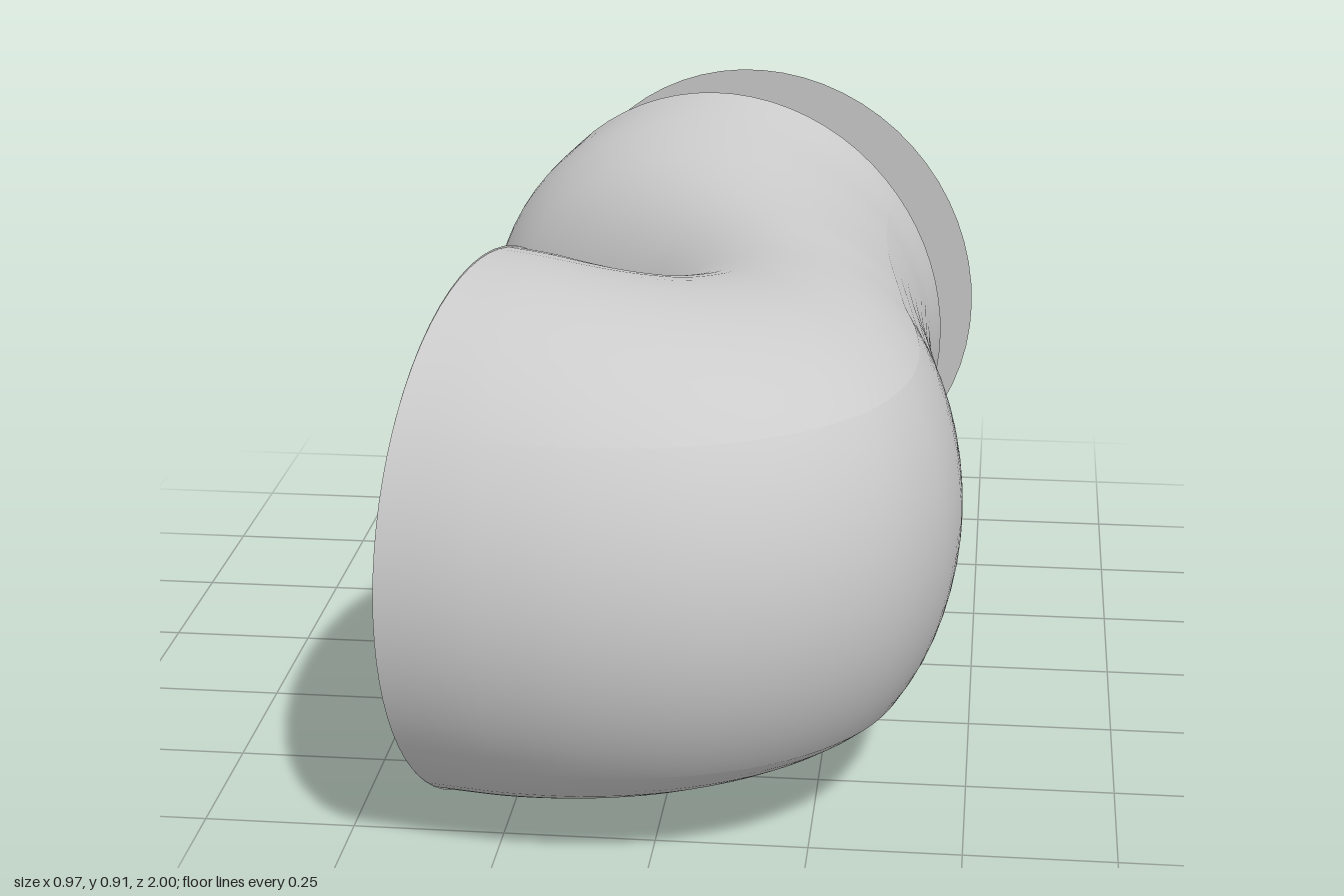
import * as THREE from 'three';
import { ParametricGeometry } from 'three/addons/geometries/ParametricGeometry.js';

const MID_Y = 0.458; // height of the tube's centre line
const ARC_R = 0.453; // radius of the outer side of every cross-section
const CREASE = 0.275; // height above the centre line where the soft crease runs
const PEG_R = 0.165, PEG_DEPTH = 0.063;

// Cross-sections from the open end to the closed end:
// [inner x, inner z, outer x, outer z, half height]
const SECTIONS = [
  [-0.46, -0.79, 0.415, -0.575, 0.453],
  [-0.487, -0.64, 0.402, -0.45, 0.437],
  [-0.455, -0.5, 0.405, -0.33, 0.42],
  [-0.37, -0.37, 0.412, -0.2, 0.4],
  [-0.27, -0.24, 0.425, -0.08, 0.385],
  [-0.19, -0.12, 0.44, 0.03, 0.377],
  [-0.157, -0.02, 0.455, 0.15, 0.373],
  [-0.155, 0.02, 0.475, 0.3, 0.375],
  [-0.16, 0.035, 0.478, 0.46, 0.38],
  [-0.165, 0.045, 0.455, 0.61, 0.385],
  [-0.17, 0.05, 0.39, 0.76, 0.395],
  [-0.175, 0.055, 0.27, 0.885, 0.405],
  [-0.18, 0.058, 0.1, 0.968, 0.42],
  [-0.185, 0.06, -0.08, 0.995, 0.435],
  [-0.19, 0.06, -0.25, 0.983, 0.447],
  [-0.2, 0.06, -0.41, 0.95, 0.453],
];
const innerCurve = new THREE.CatmullRomCurve3(SECTIONS.map((s) => new THREE.Vector3(s[0], s[4], s[1])));
const outerCurve = new THREE.CatmullRomCurve3(SECTIONS.map((s) => new THREE.Vector3(s[2], s[4], s[3])));

// Places a section point: a runs inner to outer (-w..w), b is vertical
function place(t, profile, target) {
  const i = innerCurve.getPoint(t), o = outerCurve.getPoint(t);
  const w = Math.hypot(o.x - i.x, o.z - i.z) / 2;
  const [a, b] = profile(w, i.y);
  const k = (a + w) / (2 * w);
  target.set(i.x + (o.x - i.x) * k, MID_Y + b, i.z + (o.z - i.z) * k);
}

const ARC = Math.asin(CREASE / ARC_R);

// Outer side: a circular arc between the two creases
function outerSide(u, v, target) {
  const angle = (u * 2 - 1) * ARC;
  place(v, (w) => [w - ARC_R * (1 - Math.cos(angle)), ARC_R * Math.sin(angle)], target);
}

// Remaining wall: part of an ellipse over the top, round the inside and under
function innerSide(u, v, target) {
  place(v, (w, h) => {
    const start = Math.asin(CREASE / h);
    const angle = start + u * (Math.PI * 2 - 2 * start);
    const edge = w - ARC_R * (1 - Math.cos(ARC));
    const k = (Math.cos(angle) + 1) / (Math.cos(start) + 1);
    return [-w + k * (edge + w), h * Math.sin(angle)];
  }, target);
}

export function createModel() {
  const model = new THREE.Group();
  const material = new THREE.MeshStandardMaterial({ color: 0xcccccc, side: THREE.DoubleSide });

  function add(parent, name, geometry) {
    const mesh = new THREE.Mesh(geometry, material);
    mesh.name = name;
    parent.add(mesh);
    return mesh;
  }

  // Group whose local +z points along (nx, nz)
  function endGroup(name, x, y, z, nx, nz) {
    const group = new THREE.Group();
    group.name = name;
    group.position.set(x, y, z);
    group.rotation.y = Math.atan2(nx, nz);
    model.add(group);
    return group;
  }

  // Bent tube, open at the back
  add(model, 'tubeOuterSide', new ParametricGeometry(outerSide, 16, 72));
  add(model, 'tubeInnerSide', new ParametricGeometry(innerSide, 56, 72));

  // Closed end with a round socket
  const end = endGroup('socketEnd', -0.305, MID_Y, 0.505, -0.973, -0.23);
  add(end, 'endFace', new THREE.RingGeometry(PEG_R, 0.456, 64));
  const wall = add(end, 'socketWall',
    new THREE.CylinderGeometry(PEG_R, PEG_R, PEG_DEPTH, 48, 1, true).rotateX(Math.PI / 2));
  wall.position.z = -PEG_DEPTH / 2;
  add(end, 'socketFloor', new THREE.CircleGeometry(PEG_R, 48)).position.z = -PEG_DEPTH;

  // Separate thin disc with a peg, floating off the open end
  const cap = endGroup('pegCap', 0.03, 0.455, -0.898, 0.232, -0.973);
  add(cap, 'capDisc', new THREE.CircleGeometry(0.455, 64));
  const peg = add(cap, 'peg',
    new THREE.CylinderGeometry(PEG_R, PEG_R, PEG_DEPTH, 48).rotateX(Math.PI / 2));
  peg.position.z = PEG_DEPTH / 2;

  return model;
}
